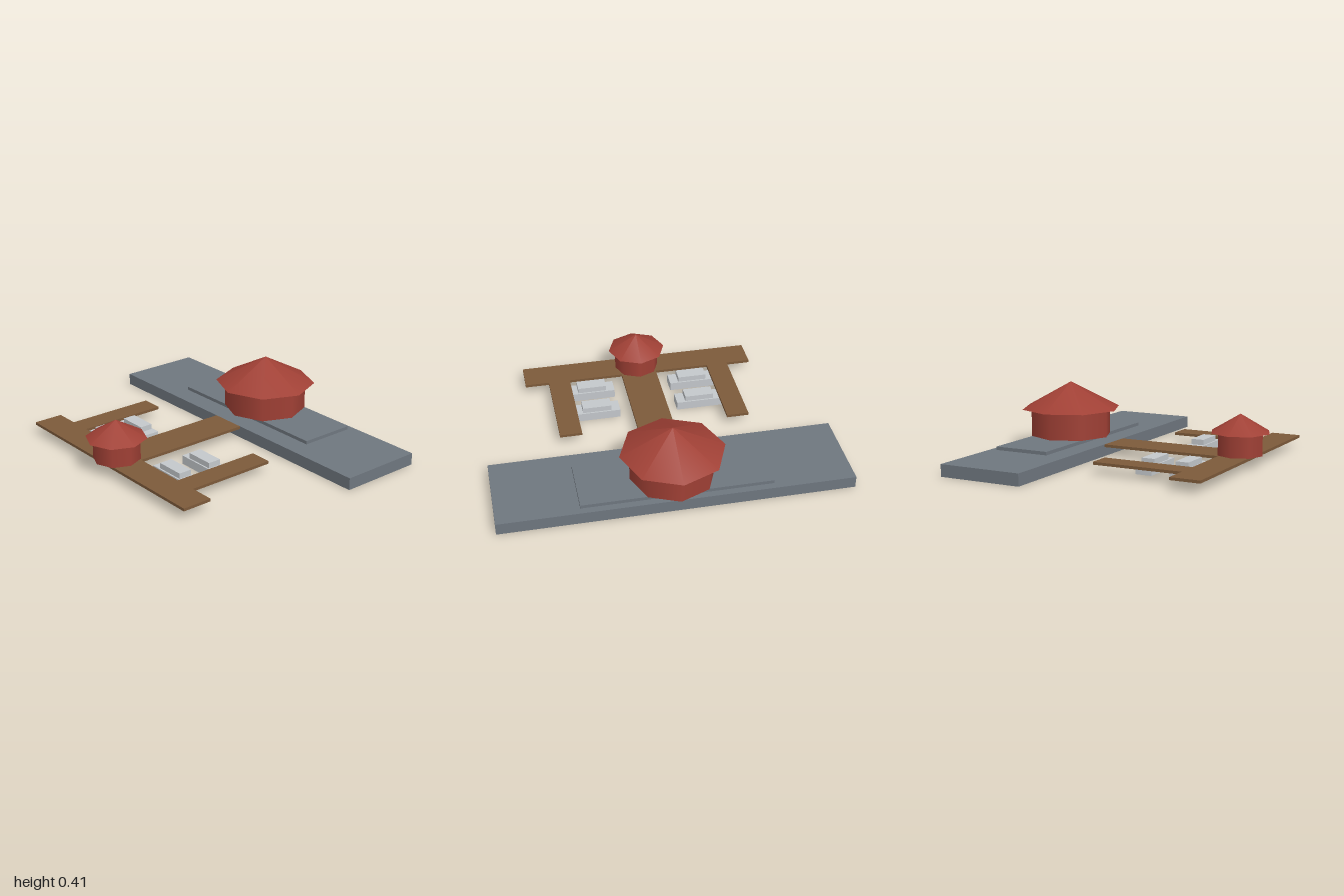
import * as THREE from 'three';

const paint = (name, color) => {
  const m = new THREE.MeshStandardMaterial({ color });
  m.name = name;
  return m;
};

export function createModel() {
  const stone = paint('slate grey', 0x6f777f);
  const wood = paint('pier wood', 0x7d5a3a);
  const red = paint('brick red', 0xa04035);
  const white = paint('boat grey', 0xc4c8cc);

  const model = new THREE.Group();
  model.name = 'harbour';

  // Box given by its limits on each axis
  const box = (name, mat, [x0, x1], [y0, y1], [z0, z1], parent = model) => {
    const mesh = new THREE.Mesh(new THREE.BoxGeometry(x1 - x0, y1 - y0, z1 - z0), mat);
    mesh.position.set((x0 + x1) / 2, (y0 + y1) / 2, (z0 + z1) / 2);
    mesh.name = name;
    parent.add(mesh);
  };

  // Eight-sided house with a pointed roof
  const house = (name, z, base, eaves, top, wallRadius, roofRadius) => {
    const group = new THREE.Group();
    group.name = name;
    group.position.z = z;
    const walls = new THREE.Mesh(
      new THREE.CylinderGeometry(wallRadius, wallRadius, eaves - base, 8), red);
    walls.name = 'walls';
    walls.position.y = (base + eaves) / 2;
    const roof = new THREE.Mesh(new THREE.ConeGeometry(roofRadius, top - eaves, 8), red);
    roof.name = 'roof';
    roof.position.y = (eaves + top) / 2;
    group.add(walls, roof);
    model.add(group);
  };

  // Quay with its raised terrace
  box('quay', stone, [-1, 1], [0, 0.07], [-0.7, -0.2]);
  box('terrace', stone, [-0.54, 0.54], [0.07, 0.09], [-0.66, -0.325]);

  // Wooden piers
  const deck = [0.054, 0.07];
  box('mainPier', wood, [-0.108, 0.108], deck, [-0.2, 0.525]);
  box('crossPier', wood, [-0.708, 0.708], deck, [0.525, 0.7]);
  for (const s of [-1, 1]) {
    box('fingerPier', wood, [s * 0.5 - 0.065, s * 0.5 + 0.065], deck, [-0.01, 0.525]);

    // Moored boats: hull and cabin
    for (const z of [0.24, 0.445]) {
      const boat = new THREE.Group();
      boat.name = 'boat';
      boat.position.set(s * 0.313, 0, z);
      box('hull', white, [-0.138, 0.138], [0, 0.051], [-0.048, 0.048], boat);
      box('cabin', white, [-0.086, 0.086], [0.051, 0.083], [-0.039, 0.039], boat);
      model.add(boat);
    }
  }

  house('mainHouse', -0.492, 0.09, 0.251, 0.41, 0.242, 0.297);
  house('pierHouse', 0.612, 0.07, 0.196, 0.3, 0.134, 0.173);

  return model;
}
